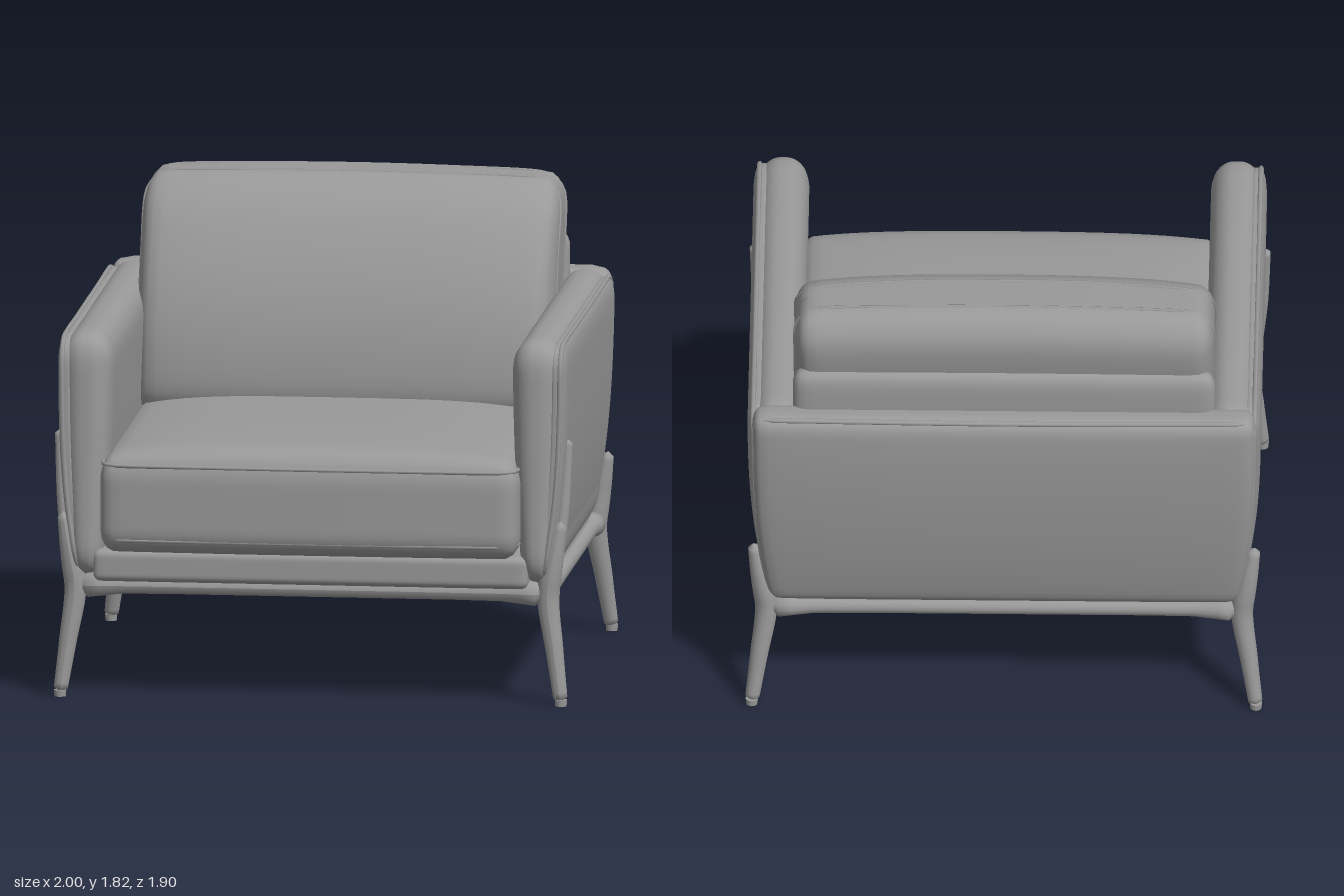
import * as THREE from 'three';
import { mergeVertices } from 'three/addons/utils/BufferGeometryUtils.js';

const V = (x, y, z) => new THREE.Vector3(x, y, z);
const { clamp, lerp } = THREE.MathUtils;

// Upholstered block: box with elliptical edge radii, then reshaped by a rule.
function cushion([x0, x1], [y0, y1], [z0, z1], radii, rule = () => {}, n = 26) {
  const geo = new THREE.BoxGeometry(2, 2, 2, n, n, n);
  geo.deleteAttribute('uv');
  geo.deleteAttribute('normal');
  const g = mergeVertices(geo, 1e-4);
  const half = [(x1 - x0) / 2, (y1 - y0) / 2, (z1 - z0) / 2];
  const mid = V((x0 + x1) / 2, (y0 + y1) / 2, (z0 + z1) / 2);
  const pos = g.attributes.position;
  for (let i = 0; i < pos.count; i++) {
    const p = V().fromBufferAttribute(pos, i);
    const q = [], d = V();
    p.toArray().forEach((c, k) => {
      const a = Math.sin(c * Math.PI / 2) * half[k];
      const lim = half[k] - radii[k];
      q[k] = clamp(a, -lim, lim);
      d.setComponent(k, (a - q[k]) / radii[k]);
    });
    d.normalize();
    p.set(q[0] + d.x * radii[0], q[1] + d.y * radii[1], q[2] + d.z * radii[2]);
    const unit = V(p.x / half[0], p.y / half[1], p.z / half[2]);
    p.add(mid);
    rule(p, unit);
    pos.setXYZ(i, p.x, p.y, p.z);
  }
  g.computeVertexNormals();
  return g;
}

// Round bar along a curve, with radii interpolated along its length.
function taper(points, radii, segs = 40, sides = 14) {
  const curve = new THREE.CatmullRomCurve3(points);
  const g = new THREE.TubeGeometry(curve, segs, 1, sides);
  const pos = g.attributes.position;
  for (let i = 0; i <= segs; i++) {
    const c = curve.getPointAt(i / segs);
    const f = i / segs * (radii.length - 1), k = Math.min(Math.floor(f), radii.length - 2);
    let r = lerp(radii[k], radii[k + 1], f - k);
    if (i === 0 || i === segs) r = 0;
    for (let j = 0; j <= sides; j++) {
      const m = i * (sides + 1) + j;
      const p = V().fromBufferAttribute(pos, m).sub(c).multiplyScalar(r).add(c);
      pos.setXYZ(m, p.x, p.y, p.z);
    }
  }
  g.computeVertexNormals();
  return g;
}

// Closed piping round a rounded rectangle; place() turns (a, b) into a point.
function piping([a0, a1], [b0, b1], r, place, thick = 0.008) {
  const pts = [];
  const corners = [[a1 - r, b1 - r], [a0 + r, b1 - r], [a0 + r, b0 + r], [a1 - r, b0 + r]];
  corners.forEach(([a, b], k) => {
    for (let i = 0; i <= 4; i++) {
      const w = (k + i / 4) * Math.PI / 2;
      pts.push(place(a + r * Math.cos(w), b + r * Math.sin(w)));
    }
    const [na, nb] = corners[(k + 1) % 4], w = (k + 1) * Math.PI / 2;
    for (const t of [0.25, 0.5, 0.75]) {
      pts.push(place(lerp(a, na, t) + r * Math.cos(w), lerp(b, nb, t) + r * Math.sin(w)));
    }
  });
  return new THREE.TubeGeometry(new THREE.CatmullRomCurve3(pts, true), 160, thick, 6, true);
}

export function createModel() {
  const chair = new THREE.Group();
  chair.name = 'armchair';
  const grey = new THREE.MeshStandardMaterial({ color: 0x999999 });
  grey.name = 'grey upholstery';
  const add = (name, geo) => {
    const mesh = new THREE.Mesh(geo, grey);
    mesh.name = name;
    chair.add(mesh);
    return mesh;
  };

  // Shell shape: height fraction, inward sweep at the bottom, slanted ends
  const up = y => clamp((y - 0.47) / 0.93, 0, 1);
  const sweep = y => 0.07 * (1 - up(y)) ** 3;
  const slant = (z, y) => z * (z > 0 ? 1 + 0.035 * (1 - up(y)) : 1 - 0.17 * (1 - up(y)));

  // Seat deck and underside
  add('seatDeck', cushion([-0.84, 0.84], [0.45, 0.575], [-0.8, 0.86], [0.03, 0.03, 0.03]));
  const cover = add('underCover', new THREE.BoxGeometry(1.6, 0.02, 1.42));
  cover.position.y = 0.447;

  // Seat cushion with a crowned top and bowed front
  add('seatCushion', cushion([-0.81, 0.81], [0.57, 0.95], [-0.72, 0.935], [0.06, 0.1, 0.08], (p, u) => {
    if (u.y > 0) p.y += 0.06 * u.y * (1 - u.x ** 4) * Math.sqrt(Math.max(0, 1 - u.z ** 4));
    if (u.z > 0) p.z += 0.018 * u.z * (1 - u.x ** 2);
  }));
  for (const y of [0.915, 0.625]) {
    add('seatPiping', piping([-0.8, 0.8], [-0.7, 0.922], 0.07, (x, z) =>
      V(x, y, z + (z > 0.8 ? 0.016 * (1 - (x / 0.8) ** 2) : 0))));
  }

  // Back cushion, leaning and full at the front
  const backRule = p => {
    const t = clamp((p.y - 1) / 0.8, 0, 1), s = (p.y - 0.9) / 0.9;
    const front = -0.14 - 0.34 * t ** 2.2;
    const back = -0.62 - 0.3 * s + 0.1 * s ** 6;
    p.z = lerp(back, front, p.z / 0.5 + 0.5) - 0.04 * (p.z > 0 ? (p.x / 0.8) ** 4 : 0);
    p.y += 0.02 * s * (1 - (p.x / 0.8) ** 2);
    return p;
  };
  add('backCushion', cushion([-0.805, 0.805], [0.9, 1.8], [-0.25, 0.25], [0.07, 0.14, 0.13], p => backRule(p)));
  for (const z of [0.12, -0.12]) {
    add('backCushionPiping', piping([-0.802, 0.802], [0.904, 1.797], 0.1, (x, y) => backRule(V(x, y, z)), 0.007));
  }

  // Upright pad behind the back cushion
  add('backPad', cushion([-0.81, 0.81], [0.6, 1.57], [-0.855, -0.755], [0.06, 0.07, 0.045], p => {
    p.z += 0.06 * (1 - up(p.y));
  }));

  // Outer back panel
  const backZ = y => 0.1 * (1 - up(y)) ** 2;
  add('backPanel', cushion([-0.965, 0.965], [0.47, 1.41], [-0.94, -0.79], [0.05, 0.06, 0.06], (p, u) => {
    p.x *= 1 - sweep(p.y);
    p.z += backZ(p.y);
    if (u.z < 0) p.z -= 0.012 * (1 - u.x ** 4) * (1 - u.y ** 4);
  }));
  add('backTopPiping', taper([V(-0.93, 1.4, -0.915), V(0, 1.4, -0.925), V(0.93, 1.4, -0.915)], [0.01, 0.01]));

  for (const s of [-1, 1]) {
    // Padded arm, narrowing towards the bottom
    add('armPad', cushion(s > 0 ? [0.77, 0.97] : [-0.97, -0.77], [0.465, 1.412], [-0.9, 0.84], [0.09, 0.12, 0.1], p => {
      const k = 1 - 0.4 * (1 - up(p.y)) ** 2;
      p.x = s * 0.87 + (p.x - s * 0.87) * k;
      p.z = slant(p.z, p.y);
    }));

    // Flat outer panel with piping
    add('sidePanel', cushion(s > 0 ? [0.91, 0.985] : [-0.985, -0.91], [0.475, 1.39], [-0.88, 0.825], [0.03, 0.1, 0.1], p => {
      p.x -= s * sweep(p.y);
      p.z = slant(p.z, p.y);
    }));
    add('sidePiping', piping([-0.88, 0.825], [0.478, 1.388], 0.1, (z, y) =>
      V(s * (0.962 - sweep(y)), y, slant(z, y)), 0.01));

    // Seam down the rear corner
    add('cornerPiping', taper([0.5, 0.7, 0.95, 1.2, 1.37].map(y =>
      V(s * (0.958 - sweep(y)), y, -0.895 + backZ(y))), [0.01, 0.01]));

    // Slim brace rising from the front leg
    add('legBrace', taper([V(s * 0.94, 0.52, 0.785), V(s * 0.965, 0.75, 0.755), V(s * 0.982, 1.02, 0.73)],
      [0.026, 0.024, 0.018]));

    // Splayed legs with small glides
    for (const [foot, knee, tip] of [[0.84, 0.795, 0.79], [-0.845, -0.785, -0.775]]) {
      add(foot > 0 ? 'frontLeg' : 'backLeg', taper([
        V(s * 0.967, 0.015, foot), V(s * 0.94, 0.21, (foot + knee) / 2),
        V(s * 0.913, 0.42, knee), V(s * 0.93, 0.54, knee), V(s * 0.962, 0.71, tip),
      ], [0.027, 0.031, 0.036, 0.041, 0.044, 0.036, 0.022]));
      const glide = add('footGlide', new THREE.CylinderGeometry(0.024, 0.022, 0.025, 16));
      glide.position.set(s * 0.967, 0.0125, foot);
    }

    // Side rail, flared where it meets the legs
    add('sideRail', taper([V(s * 0.905, 0.43, -0.785), V(s * 0.905, 0.43, 0), V(s * 0.905, 0.43, 0.795)],
      [0.055, 0.034, 0.032, 0.032, 0.032, 0.032, 0.032, 0.032, 0.032, 0.034, 0.055]));
  }

  // Front and back rails
  for (const [name, z] of [['frontRail', 0.795], ['backRail', -0.785]]) {
    add(name, taper([V(-0.91, 0.43, z), V(0, 0.43, z), V(0.91, 0.43, z)],
      [0.055, 0.034, 0.032, 0.032, 0.032, 0.032, 0.032, 0.032, 0.032, 0.034, 0.055]));
  }
  return chair;
}
